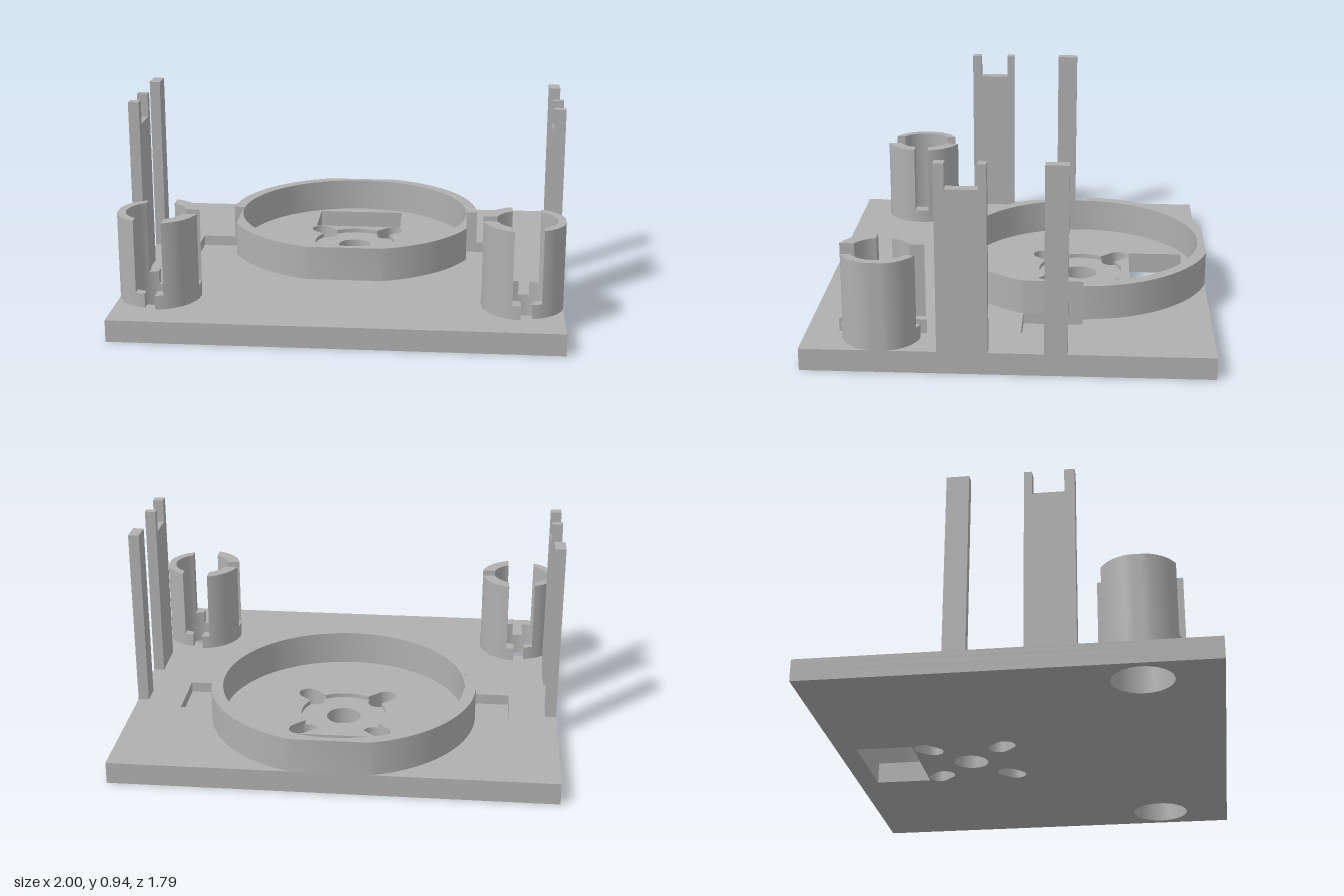
import * as THREE from 'three';
import { toCreasedNormals } from 'three/addons/utils/BufferGeometryUtils.js';

const T = 0.1;            // plate thickness
const RING_Z = -0.3;      // centre of the round housing
const TUBE = { x: 0.83, z: 0.555, bore: 0.135 };

// Extrudes a plan outline (shape x = x, shape y = z) from height y0 to y1.
function slab(name, shape, y0, y1, material) {
  let g = new THREE.ExtrudeGeometry(shape, { depth: y1 - y0, bevelEnabled: false, curveSegments: 40 });
  g.rotateX(Math.PI / 2).translate(0, y1, 0);
  g = toCreasedNormals(g, 0.5);
  const mesh = new THREE.Mesh(g, material);
  mesh.name = name;
  return mesh;
}

function poly(Type, pts) {
  return new Type(pts.map(([x, y]) => new THREE.Vector2(x, y)));
}
const rect = (Type, x0, z0, x1, z1) => poly(Type, [[x0, z0], [x1, z0], [x1, z1], [x0, z1]]);
const circle = (x, z, r) => new THREE.Path().absarc(x, z, r, 0, Math.PI * 2, false);

// Four diagonal screw slots around the centre hole
const SLOT_R = 0.048, SLOT_IN = 0.217, SLOT_OUT = 0.266;
const slotAngles = [0, 1, 2, 3].map(k => Math.PI / 4 + k * Math.PI / 2);
function slot(a) {
  const p = new THREE.Path(), c = Math.cos(a), s = Math.sin(a);
  p.absarc(SLOT_OUT * c, RING_Z + SLOT_OUT * s, SLOT_R, a - Math.PI / 2, a + Math.PI / 2, false);
  p.absarc(SLOT_IN * c, RING_Z + SLOT_IN * s, SLOT_R, a + Math.PI / 2, a + Math.PI * 1.5, false);
  p.closePath();
  return p;
}

// Round recess whose outline bulges out along the screw slots
function recessOutline() {
  const p = new THREE.Path(), w = Math.asin(SLOT_R / 0.2);
  for (const a of slotAngles) {
    p.absarc(SLOT_OUT * Math.cos(a), RING_Z + SLOT_OUT * Math.sin(a), SLOT_R, a - Math.PI / 2, a + Math.PI / 2, false);
    p.absarc(0, RING_Z, 0.2, a + w, a + Math.PI / 2 - w, false);
  }
  p.closePath();
  return p;
}

// One layer of the base plate
function plateShape(pockets, recess) {
  const s = rect(THREE.Shape, -1, -0.895, 1, 0.895);
  s.holes.push(rect(THREE.Path, -0.22, -0.8, 0.22, -0.54));
  for (const m of [-1, 1]) {
    s.holes.push(circle(m * TUBE.x, TUBE.z, TUBE.bore));
    if (pockets) s.holes.push(rect(THREE.Path, m * 0.567, -0.32, m * 0.78, -0.05));
  }
  if (recess) s.holes.push(recessOutline());
  else s.holes.push(circle(0, RING_Z, 0.08), ...slotAngles.map(slot));
  return s;
}

// Round housing wall: trimmed front and back, notched at both sides
function ringShape() {
  const R = 0.62, cut = 0.595, flat = 0.567;
  const half = [];
  const arc = (a0, a1) => {
    for (let i = 0; i <= 24; i++) {
      const a = a0 + (a1 - a0) * i / 24;
      half.push([R * Math.cos(a), RING_Z + R * Math.sin(a)]);
    }
  };
  arc(-Math.asin(cut / R), -Math.asin(0.02 / R));
  half.push([flat, RING_Z - 0.02], [flat, RING_Z + 0.25]);
  arc(Math.acos(flat / R) + 0.005, Math.asin(cut / R));
  const s = poly(THREE.Shape, [...half, ...half.map(([x, z]) => [-x, z]).reverse()]);
  s.holes.push(circle(0, RING_Z, 0.565));
  return s;
}

// Piece of a tube wall: outer arc a0..a1, inner arc b0..b1, trimmed at maxX
function wallShape(R, r, [a0, a1], [b0, b1], side, maxX = 1) {
  const pts = [], n = 24;
  for (let i = 0; i <= n; i++) {
    const a = a0 + (a1 - a0) * i / n;
    pts.push([Math.min(R * Math.cos(a), maxX), R * Math.sin(a)]);
  }
  for (let i = n; i >= 0; i--) {
    const b = b0 + (b1 - b0) * i / n;
    pts.push([r * Math.cos(b), r * Math.sin(b)]);
  }
  return poly(THREE.Shape, pts.map(([x, z]) => [side * x, z]));
}

// Split tube holder: small outer half, larger inner half with a slot, low lips below
function tubeHolder(material) {
  const g = new THREE.Group();
  g.name = 'tubeHolder';
  const r = TUBE.bore, Ro = 0.174, Ri = 0.195;
  const chord = (R, x) => Math.acos(x / R);
  const span = (R, x) => [-chord(R, x), chord(R, x)];
  g.add(slab('outerWall', wallShape(Ro, r, span(Ro, 0.07), span(r, 0.07), 1, 0.17), T, 0.5, material));
  g.add(slab('outerLip', wallShape(Ro, r, span(Ro, 0.028), span(r, 0.028), 1, 0.17), T, 0.165, material));
  g.add(slab('innerLip', wallShape(Ri, r, span(Ri, 0.023), span(r, 0.023), -1), T, 0.165, material));
  for (const m of [-1, 1]) {
    const from = R => [m * Math.asin(0.035 / R), m * chord(R, 0.06)];
    g.add(slab('innerWall', wallShape(Ri, r, from(Ri), from(r), -1), T, 0.5, material));
  }
  return g;
}

// Upright post at the plate edge, drawn as a z/y profile
function post(name, pts, material) {
  const g = new THREE.ExtrudeGeometry(poly(THREE.Shape, pts.map(([z, y]) => [-z, y])), { depth: 0.05, bevelEnabled: false });
  g.rotateY(Math.PI / 2).translate(-0.025, 0, 0);
  const mesh = new THREE.Mesh(g, material);
  mesh.name = name;
  return mesh;
}

export function createModel() {
  const model = new THREE.Group();
  model.name = 'mountingBase';
  const grey = new THREE.MeshStandardMaterial({ color: 0xb0b0b0 });
  grey.name = 'plainGrey';

  // Base plate in layers, giving the side pockets and centre recess their depth
  model.add(slab('plateBottom', plateShape(false, false), 0, 0.05, grey));
  model.add(slab('plateMiddle', plateShape(true, false), 0.05, 0.08, grey));
  model.add(slab('plateTop', plateShape(true, true), 0.08, T, grey));
  model.add(slab('housingRing', ringShape(), T, 0.26, grey));

  for (const side of [-1, 1]) {
    // Tube holders near the front corners
    const holder = tubeHolder(grey);
    holder.position.set(side * TUBE.x, 0, TUBE.z);
    if (side < 0) holder.rotation.y = Math.PI;
    model.add(holder);

    // Forked post and plain post on each side edge
    const fork = post('forkedPost', [[0.3, T], [0.08, T], [0.08, 0.94], [0.115, 0.94],
      [0.115, 0.83], [0.255, 0.83], [0.255, 0.94], [0.3, 0.94]], grey);
    const plain = post('plainPost', [[-0.16, T], [-0.26, T], [-0.26, 0.94], [-0.16, 0.94]], grey);
    for (const p of [fork, plain]) {
      p.position.x = side * 0.975;
      model.add(p);
    }
  }
  return model;
}
